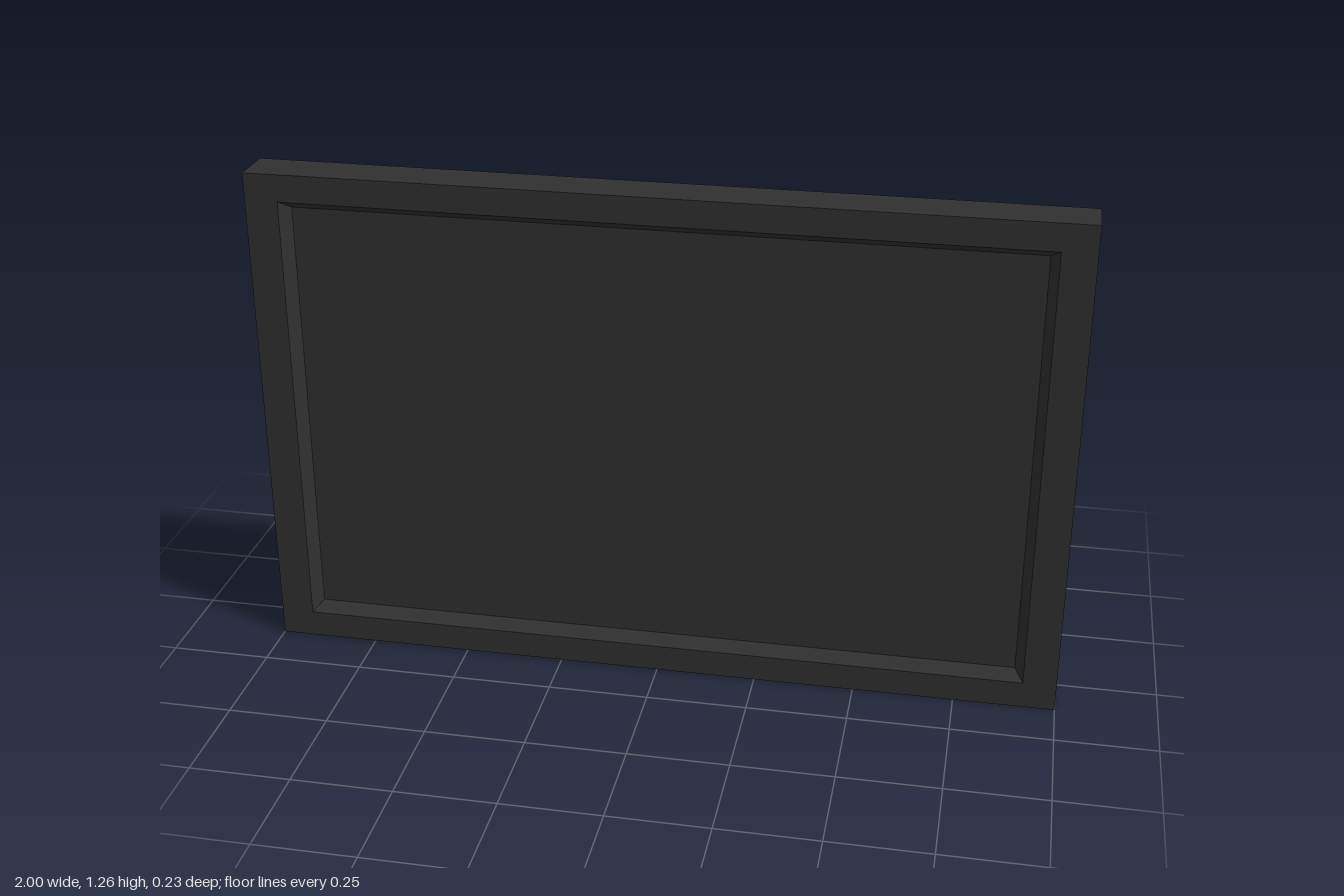
import * as THREE from 'three';

// Skins rectangular rings [halfWidth, yBottom, yTop, z], starting at the rear, with flat faces.
function loftRects(rings, capEnd) {
  const pos = [];
  const loops = rings.map(([w, y0, y1, z]) => [[-w, y0, z], [w, y0, z], [w, y1, z], [-w, y1, z]]);
  const quad = (a, b, c, d) => pos.push(...a, ...b, ...c, ...a, ...c, ...d);
  const first = loops[0], last = loops[loops.length - 1];
  quad(first[3], first[2], first[1], first[0]);
  for (let r = 0; r < loops.length - 1; r++) {
    const a = loops[r], b = loops[r + 1];
    for (let i = 0; i < 4; i++) {
      const j = (i + 1) % 4;
      quad(a[i], a[j], b[j], b[i]);
    }
  }
  if (capEnd) quad(...last);
  const geo = new THREE.BufferGeometry();
  geo.setAttribute('position', new THREE.Float32BufferAttribute(pos, 3));
  geo.computeVertexNormals();
  return geo;
}

export function createModel() {
  const group = new THREE.Group();
  const plastic = new THREE.MeshStandardMaterial({ color: 0x303030 });
  plastic.name = 'charcoal plastic';

  const add = (name, geo) => {
    const mesh = new THREE.Mesh(geo, plastic);
    mesh.name = name;
    group.add(mesh);
    return mesh;
  };

  // Casing with flat bezel and bevelled recess
  add('casing', loftRects([
    [1, 0, 1.262, 0],
    [1, 0, 1.262, 0.117],
    [0.918, 0.068, 1.194, 0.117],
    [0.896, 0.09, 1.172, 0.084],
  ], false));

  // Display panel at the bottom of the recess
  const screen = add('screen', new THREE.PlaneGeometry(1.792, 1.082));
  screen.position.set(0, 0.631, 0.084);

  // Tapered rear housing
  add('rearHousing', loftRects([
    [0.403, 0.306, 0.767, -0.066],
    [0.503, 0.22, 0.854, 0],
  ], false));

  // Mounting block on the housing
  const mount = add('mountingBlock', new THREE.BoxGeometry(0.306, 0.262, 0.051));
  mount.position.set(0, 0.536, -0.0915);

  return group;
}
